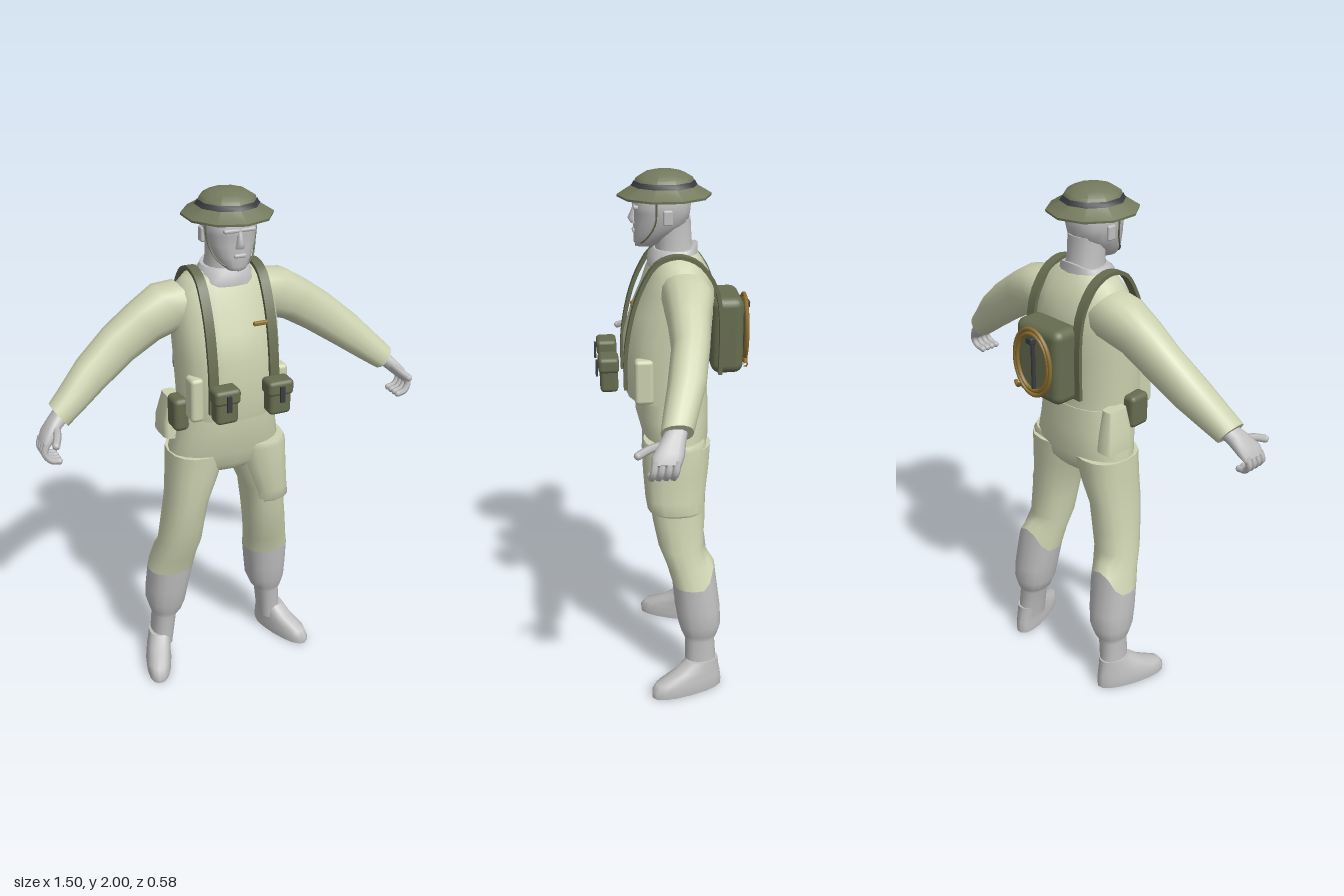
import * as THREE from 'three';
import { toCreasedNormals } from 'three/addons/utils/BufferGeometryUtils.js';
import { RoundedBoxGeometry } from 'three/addons/geometries/RoundedBoxGeometry.js';

const paint = (name, color) => {
  const m = new THREE.MeshStandardMaterial({ color });
  m.name = name;
  return m;
};
const V = (x, y, z) => new THREE.Vector3(x, y, z);

// Smooth closed skin through rings [x, y, z, radiusU, radiusV, backPeak]
function loft(rings, { u = V(1, 0, 0), v = V(0, 0, 1), n = 16, pow = 0.88 } = {}) {
  const pos = [], idx = [];
  const first = V(...rings[0]), last = V(...rings[rings.length - 1]);
  const dir = u.clone().cross(v).dot(last.clone().sub(first)) < 0 ? -1 : 1;
  const round = (t) => Math.sign(t) * Math.abs(t) ** pow;
  const ring = ([x, y, z, ru, rv, peak = 0]) => {
    for (let j = 0; j < n; j++) {
      const a = (dir * j * 2 * Math.PI) / n;
      const p = V(x, y, z).addScaledVector(u, ru * round(Math.cos(a))).addScaledVector(v, rv * round(Math.sin(a)));
      pos.push(p.x, p.y + peak * Math.max(0, (-Math.sin(a) - 0.6) / 0.4), p.z);
    }
  };
  rings.forEach(ring);
  for (let i = 0; i < rings.length - 1; i++) {
    for (let j = 0; j < n; j++) {
      const a = i * n + j, b = i * n + ((j + 1) % n);
      idx.push(a, b, b + n, a, b + n, a + n);
    }
  }
  // end caps
  [rings[0], rings[rings.length - 1]].forEach((r, end) => {
    const base = pos.length / 3;
    ring(r);
    pos.push(r[0], r[1], r[2]);
    for (let j = 0; j < n; j++) {
      const a = base + j, b = base + ((j + 1) % n);
      idx.push(base + n, end ? a : b, end ? b : a);
    }
  });
  const g = new THREE.BufferGeometry();
  g.setAttribute('position', new THREE.Float32BufferAttribute(pos, 3));
  g.setIndex(idx);
  g.computeVertexNormals();
  return g;
}

const tube = (pts, r, closed = false, segs = 12) =>
  new THREE.TubeGeometry(new THREE.CatmullRomCurve3(pts, closed), segs, r, 6, closed);

// Flat belt following a (z, y) path, with its width along x
function belt(path, width, thick) {
  const curve = new THREE.SplineCurve(path.map(([z, y]) => new THREE.Vector2(z, y)));
  const inner = curve.getPoints(28);
  const outer = inner.map((p, i) => {
    const t = curve.getTangent(i / 28);
    return new THREE.Vector2(p.x + t.y * thick, p.y - t.x * thick);
  });
  const g = new THREE.ExtrudeGeometry(new THREE.Shape([...inner, ...outer.reverse()]), { depth: width, bevelEnabled: false });
  return g.rotateY(-Math.PI / 2).translate(width / 2, 0, 0);
}

export function createModel() {
  const khaki = paint('khaki cloth', 0xccd2b0);
  const grey = paint('plain grey', 0xbfbfc0);
  const olive = paint('helmet olive', 0x747a5d);
  const web = paint('webbing olive', 0x666c4f);
  const dark = paint('dark band', 0x3a3c40);
  const gold = paint('rope gold', 0x8f7030);

  const model = new THREE.Group();
  model.name = 'soldier';
  const add = (name, geo, mat, x = 0, y = 0, z = 0, parent = model) => {
    const m = new THREE.Mesh(geo, mat);
    m.name = name;
    m.position.set(x, y, z);
    parent.add(m);
    return m;
  };
  const box = (w, h, d, r = 0.015) => new RoundedBoxGeometry(w, h, d, 2, r);

  // jacket and trouser seat
  add('jacket', loft([
    [0, 1.17, 0.02, 0.188, 0.152], [0, 1.25, 0.025, 0.193, 0.158], [0, 1.4, 0.015, 0.198, 0.165],
    [0, 1.5, -0.005, 0.2, 0.155], [0, 1.58, -0.02, 0.2, 0.135], [0, 1.64, -0.02, 0.185, 0.115],
    [0, 1.68, -0.02, 0.15, 0.092], [0, 1.705, -0.015, 0.1, 0.08]], { n: 20 }), khaki);
  add('trouserSeat', loft([
    [0, 1.2, 0, 0.185, 0.135], [0, 1.1, 0, 0.2, 0.138], [0, 1.0, -0.012, 0.222, 0.124],
    [0, 0.95, -0.012, 0.215, 0.112], [0, 0.92, -0.012, 0.14, 0.09]], { n: 20 }), khaki);

  // neck, collar and head
  add('collar', loft([[0, 1.66, -0.005, 0.115, 0.095], [0, 1.7, -0.005, 0.1, 0.092],
    [0, 1.72, -0.015, 0.083, 0.08, 0.02]]), grey);
  add('neck', loft([[0, 1.68, -0.015, 0.075, 0.075], [0, 1.75, -0.008, 0.066, 0.066], [0, 1.83, 0, 0.066, 0.07]]), grey);
  add('head', loft([
    [0, 1.73, 0.095, 0.032, 0.034], [0, 1.745, 0.085, 0.048, 0.052], [0, 1.78, 0.06, 0.072, 0.077],
    [0, 1.82, 0.037, 0.088, 0.1], [0, 1.855, 0.033, 0.095, 0.102], [0, 1.875, 0.035, 0.097, 0.106],
    [0, 1.92, 0.03, 0.097, 0.1], [0, 1.955, 0.03, 0.07, 0.07]]), grey);
  add('nose', loft([[0, 1.87, 0.13, 0.008, 0.01], [0, 1.83, 0.138, 0.014, 0.02], [0, 1.812, 0.132, 0.018, 0.014]], { n: 8 }), grey);
  add('brow', box(0.12, 0.014, 0.02, 0.006), grey, 0, 1.876, 0.13);
  add('lips', box(0.045, 0.014, 0.02, 0.006), grey, 0, 1.786, 0.132);

  // helmet: shallow dome, wide brim, dark band
  const helmet = new THREE.Group();
  helmet.name = 'helmet';
  helmet.position.z = 0.025;
  helmet.scale.z = 1.04;
  model.add(helmet);
  const spin = (pts) => toCreasedNormals(new THREE.LatheGeometry(pts.map(([r, y]) => new THREE.Vector2(r, y)), 10), 0.7);
  add('shell', spin([[0, 1.93], [0.163, 1.906], [0.164, 1.914], [0.108, 1.948], [0.098, 1.972],
    [0.07, 1.989], [0.035, 1.998], [0, 2]]), olive, 0, 0, 0, helmet);
  add('helmetBand', spin([[0.116, 1.945], [0.111, 1.95], [0.105, 1.962]]), dark, 0, 0, 0, helmet);

  const side = (s) => {
    const mx = (rings) => rings.map(([x, ...r]) => [s * x, ...r]);
    const P = (x, y, z) => V(s * x, y, z);
    const tag = s > 0 ? 'left' : 'right';

    add(tag + 'Ear', box(0.016, 0.055, 0.035, 0.007), grey, s * 0.096, 1.845, 0.02);
    add(tag + 'ChinStrap', tube([P(0.1, 1.92, 0.06), P(0.09, 1.82, 0.065), P(0.062, 1.76, 0.1), P(0, 1.73, 0.13)], 0.003), web);

    // sleeve
    const u = V(s * 0.58, 0.81, 0);
    add(tag + 'Sleeve', loft(mx([
      [0.12, 1.585, -0.035, 0.1, 0.09], [0.2, 1.575, -0.042, 0.1, 0.092], [0.3, 1.53, -0.035, 0.086, 0.076],
      [0.4, 1.465, -0.03, 0.08, 0.067], [0.52, 1.375, -0.005, 0.07, 0.066], [0.6, 1.308, 0.022, 0.058, 0.06],
      [0.657, 1.262, 0.04, 0.05, 0.055]]), { u }), khaki);

    // hand with curled fingers
    add(tag + 'Palm', loft(mx([
      [0.635, 1.275, 0.035, 0.032, 0.036], [0.675, 1.245, 0.055, 0.027, 0.043],
      [0.715, 1.205, 0.075, 0.023, 0.054], [0.735, 1.178, 0.082, 0.014, 0.048]]), { u, n: 12 }), grey);
    for (let i = 0; i < 4; i++) {
      const z = 0.045 + i * 0.024;
      add(tag + 'Finger', tube([P(0.727, 1.195, z), P(0.737, 1.16, z + 0.006), P(0.718, 1.134, z + 0.012), P(0.69, 1.128, z + 0.014)], 0.0125), grey);
      add(tag + 'FingerTip', new THREE.SphereGeometry(0.0125, 8, 6), grey, s * 0.69, 1.128, z + 0.014);
    }
    add(tag + 'Thumb', tube([P(0.68, 1.235, 0.08), P(0.69, 1.225, 0.13), P(0.708, 1.21, 0.172)], 0.014), grey);
    add(tag + 'ThumbTip', new THREE.SphereGeometry(0.014, 8, 6), grey, s * 0.708, 1.21, 0.172);

    // trouser leg, gaiter and boot
    const split = [0.212, 0.45, -0.065, 0.092, 0.08, 0.09];
    add(tag + 'TrouserLeg', loft(mx([
      [0.115, 1.0, -0.015, 0.113, 0.123], [0.133, 0.9, -0.012, 0.1, 0.117], [0.158, 0.8, -0.007, 0.083, 0.108],
      [0.172, 0.7, -0.013, 0.083, 0.099], [0.185, 0.6, -0.02, 0.085, 0.086], [0.2, 0.52, -0.045, 0.087, 0.08, 0.05], split])), khaki);
    add(tag + 'Gaiter', loft(mx([split,
      [0.222, 0.35, -0.082, 0.085, 0.087], [0.227, 0.28, -0.09, 0.08, 0.083], [0.23, 0.235, -0.09, 0.064, 0.07],
      [0.236, 0.21, -0.09, 0.049, 0.058], [0.25, 0.07, -0.095, 0.044, 0.062]])), grey);
    add(tag + 'Boot', loft(mx([
      [0.285, 0, -0.035, 0.147, 0.05], [0.285, 0.025, -0.035, 0.149, 0.053], [0.282, 0.055, -0.042, 0.138, 0.05],
      [0.267, 0.085, -0.075, 0.095, 0.047], [0.254, 0.125, -0.098, 0.064, 0.045]]),
      { u: V(s * 0.33, 0, 0.944), v: V(0.944, 0, s * -0.33) }), grey);

    // shoulder strap over chest and back
    add(tag + 'ShoulderStrap', toCreasedNormals(belt([
      [-0.162, 1.27], [-0.165, 1.45], [-0.15, 1.58], [-0.1, 1.665], [-0.045, 1.7], [0.01, 1.703], [0.065, 1.675],
      [0.11, 1.6], [0.14, 1.52], [0.162, 1.42], [0.172, 1.33], [0.172, 1.22]], 0.036, -0.014), 0.6), web, s * 0.12, 0, 0);

    // ammunition pouch with flap and tab; cloth pocket beside it
    add(tag + 'Pouch', box(0.085, 0.13, 0.066), web, s * 0.104, 1.281, 0.24);
    add(tag + 'PouchFlap', box(0.1, 0.058, 0.076), web, s * 0.104, 1.32, 0.241);
    add(tag + 'PouchTab', new THREE.BoxGeometry(0.018, 0.06, 0.008), dark, s * 0.104, 1.3, 0.284);
    add(tag + 'JacketPocket', box(0.05, 0.17, 0.07), khaki, s * 0.168, 1.265, 0.115);
  };
  side(1);
  side(-1);

  // thigh pocket on the left leg
  add('thighPocket', loft([
    [0.122, 1.02, 0.002, 0.112, 0.115], [0.13, 1.0, 0.002, 0.112, 0.122], [0.147, 0.9, 0.004, 0.1, 0.117],
    [0.17, 0.8, 0.006, 0.083, 0.108], [0.178, 0.755, 0, 0.083, 0.106], [0.168, 0.74, -0.01, 0.08, 0.1]]), khaki);

  // small chest clip
  add('chestClip', box(0.058, 0.016, 0.014, 0.005), gold, 0.078, 1.53, 0.148);

  // right hip: cloth bag behind, webbing pouch in front
  add('hipBag', loft([[-0.205, 1.06, -0.06, 0.04, 0.07], [-0.205, 1.12, -0.06, 0.038, 0.064], [-0.195, 1.22, -0.055, 0.026, 0.045]], { pow: 0.5 }), khaki);
  add('hipPouch', box(0.06, 0.13, 0.09, 0.02), web, -0.206, 1.188, 0.045);

  // backpack with coiled rope and tool
  add('backpack', new RoundedBoxGeometry(0.226, 0.29, 0.12, 3, 0.035), web, 0, 1.405, -0.2);
  for (const k of [1, 0.86]) {
    const loop = [...Array(16)].map((_, i) => V(0.093 * k * Math.cos(i * Math.PI / 8), 0.128 * k * Math.sin(i * Math.PI / 8), 0));
    add('ropeCoil', tube(loop, 0.008, true, 40), gold, 0.005, 1.41, -0.272);
  }
  add('ropeTail', tube([V(0.06, 1.31, -0.272), V(0.09, 1.29, -0.27), V(0.108, 1.3, -0.262)], 0.008), gold);
  add('toolHandle', new THREE.CylinderGeometry(0.008, 0.008, 0.2, 8), dark, 0, 1.41, -0.272);
  add('toolHead', box(0.032, 0.026, 0.028, 0.006), dark, 0, 1.5, -0.28);

  return model;
}
